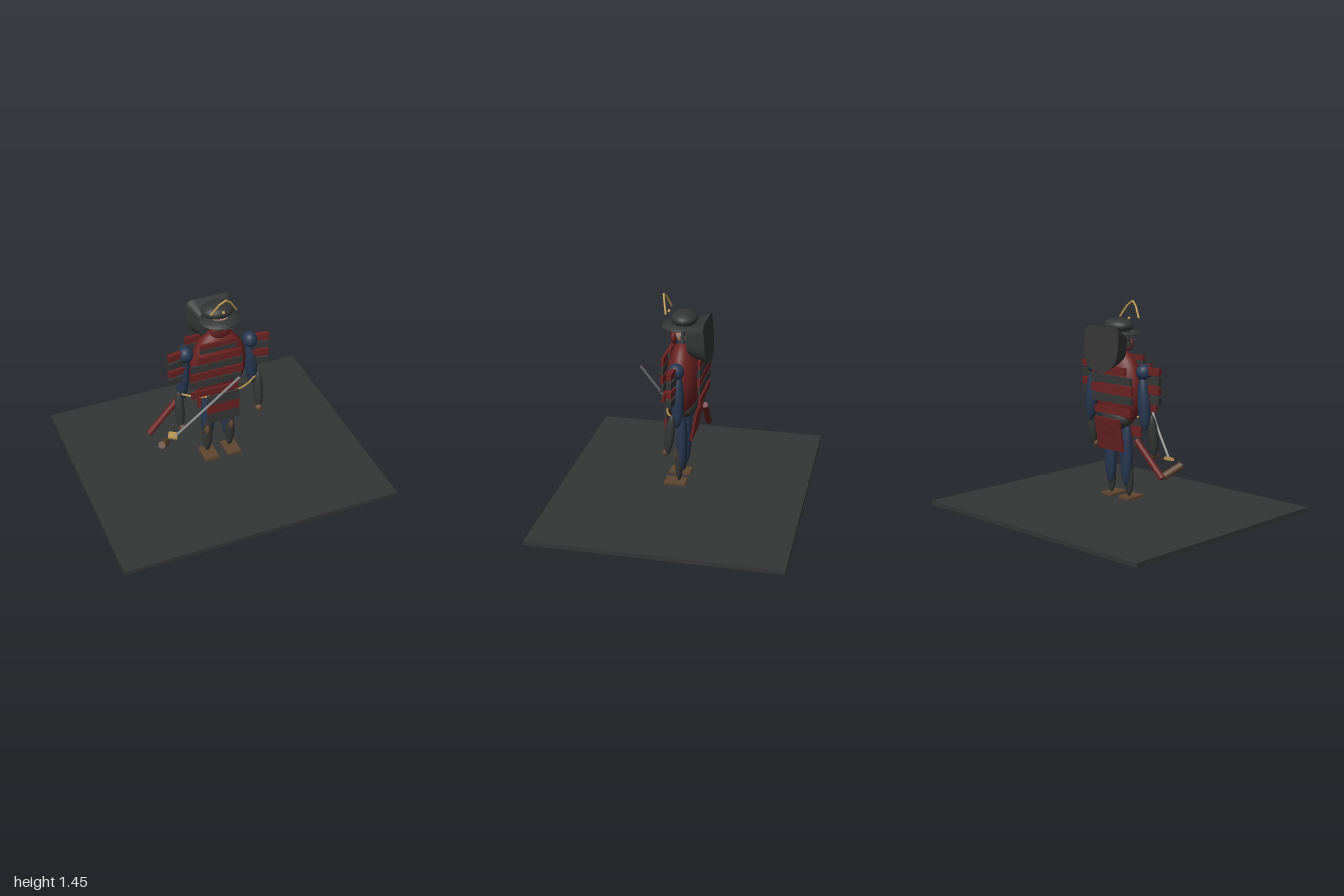
import * as THREE from 'three';

const mat = (c) => new THREE.MeshStandardMaterial({ color: c, side: THREE.DoubleSide });
const DARK = mat(0x343635), RED = mat(0x6a2222), NAVY = mat(0x27364f), BROWN = mat(0x5f4630);
const GOLD = mat(0xb8954f), SKIN = mat(0xb58d7c), STEEL = mat(0x8c8c8c), GROUND = mat(0x343635);
const V = (x, y, z) => new THREE.Vector3(x, y, z);

export function createModel() {
  const root = new THREE.Group();

  const add = (name, geo, material, x = 0, y = 0, z = 0, parent = root) => {
    const m = new THREE.Mesh(geo, material);
    m.name = name;
    m.position.set(x, y, z);
    parent.add(m);
    return m;
  };
  const box = (name, material, w, h, d, x, y, z) => add(name, new THREE.BoxGeometry(w, h, d), material, x, y, z);
  const ball = (name, material, rx, ry, rz, x, y, z) => {
    const m = add(name, new THREE.SphereGeometry(1, 32, 20), material, x, y, z);
    m.scale.set(rx, ry, rz);
    return m;
  };
  // cylinder between two points
  const rod = (name, material, a, b, r0, r1 = r0) => {
    const mid = a.clone().add(b).multiplyScalar(0.5);
    const m = add(name, new THREE.CylinderGeometry(r1, r0, a.distanceTo(b), 16), material, mid.x, mid.y, mid.z);
    m.quaternion.setFromUnitVectors(V(0, 1, 0), b.clone().sub(a).normalize());
    return m;
  };
  const tube = (name, material, pts, r) =>
    add(name, new THREE.TubeGeometry(new THREE.CatmullRomCurve3(pts), 32, r, 8), material);

  // ground slab
  box('ground', GROUND, 2, 0.03, 1.72, 0, 0.015, 0);

  // body
  ball('torso', RED, 0.2, 0.28, 0.112, 0, 0.85, 0.008);
  ball('hips', DARK, 0.13, 0.08, 0.08, 0, 0.65, -0.01);
  rod('neck', NAVY, V(0, 1.02, 0.01), V(0, 1.17, 0.01), 0.06, 0.045);

  // armour rows on chest and back: y, height, left edge, right edge, z
  const rows = [
    [1.068, 0.035, -0.16, 0.09, 0.085], [1.035, 0.03, -0.16, 0.1, 0.09],
    [0.995, 0.055, -0.19, 0.12, 0.13], [0.933, 0.052, -0.24, 0.13, 0.13],
    [0.868, 0.055, -0.25, 0.13, 0.13], [0.803, 0.052, -0.25, 0.12, 0.13],
    [0.72, 0.048, -0.24, 0.1, 0.13],
  ];
  rows.forEach(([y, h, x0, x1, z], i) => {
    const material = i % 2 ? DARK : RED;
    box('chestPlate', material, x1 - x0, h, 0.018, (x0 + x1) / 2, y, z);
    if (i < 2) return;
    box('backPlate', material, x1 - x0, h, 0.018, (x0 + x1) / 2, y, -z + 0.008);
    for (let k = 0; k < 6; k++) {
      ball('lacing', RED, 0.005, 0.008, 0.004, x0 + (x1 - x0) * (k + 0.5) / 6, y - 0.03, 0.15);
    }
  });

  // hanging skirt panels, front and back
  for (const s of [1, -1]) {
    for (let c = -1; c <= 1; c++) {
      for (let r = 0; r < 3; r++) {
        const material = s < 0 || r === 1 ? RED : DARK;
        const z = s > 0 ? 0.108 + r * 0.001 : -0.1 + r * 0.014;
        const p = box('skirtPanel', material, 0.076, 0.075, 0.016, c * 0.08, 0.62 - r * 0.076, z);
        p.rotation.x = s > 0 ? 0 : -0.17;
      }
    }
  }
  // waist cord
  tube('waistCord', GOLD, [V(-0.28, 0.67, 0.02), V(-0.2, 0.657, 0.07), V(-0.1, 0.65, 0.1),
    V(0.1, 0.65, 0.1), V(0.2, 0.657, 0.07), V(0.28, 0.67, 0.02)], 0.007);

  // limbs, mirrored
  for (const s of [1, -1]) {
    ball('shoulder', NAVY, 0.053, 0.058, 0.055, s * 0.235, 0.985, 0.01);
    ball('upperArm', NAVY, 0.045, 0.19, 0.042, s * 0.25, 0.78, -0.005).rotation.z = s * 0.08;
    ball('forearm', DARK, 0.033, 0.15, 0.034, s * 0.295, 0.55, 0.04).rotation.x = -0.12;
    ball('hand', BROWN, 0.025, 0.027, 0.025, s * 0.288, 0.415, 0.068);
    ball('thigh', NAVY, 0.05, 0.24, 0.037, s * 0.075, 0.41, 0.003);
    ball('shin', DARK, 0.037, 0.155, 0.026, s * 0.085, 0.255, 0.022);
    ball('kneeGuard', BROWN, 0.022, 0.045, 0.02, s * 0.09, 0.3, 0.034);
    box('sandal', BROWN, 0.105, 0.016, 0.15, s * 0.085, 0.092, 0.045);
    // stacked shoulder guards
    [0.998, 0.933, 0.868, 0.803].forEach((y, i) => {
      const p = box('shoulderGuard', i % 2 ? DARK : RED, 0.13, 0.048, 0.035, s * 0.3, y, 0.02);
      p.rotation.set(0, -s * 0.15, -s * 0.04);
    });
  }

  // head and face mask
  ball('head', SKIN, 0.075, 0.09, 0.06, 0, 1.2, 0.012);
  ball('faceMask', RED, 0.078, 0.06, 0.027, 0, 1.16, 0.066);
  for (const s of [1, -1]) {
    tube('moustache', DARK, [V(s * 0.008, 1.175, 0.095), V(s * 0.04, 1.183, 0.1), V(s * 0.075, 1.178, 0.108)], 0.004);
    box('earFlap', DARK, 0.035, 0.12, 0.02, s * 0.1, 1.2, -0.008).rotation.z = s * 0.15;
  }

  // helmet bowl, brim and crest
  ball('helmetBowl', DARK, 0.112, 0.053, 0.09, 0, 1.285, 0.002);
  const brim = add('helmetBrim', new THREE.LatheGeometry([
    new THREE.Vector2(0.07, 0.026), new THREE.Vector2(0.105, 0.018), new THREE.Vector2(0.14, 0),
    new THREE.Vector2(0.138, -0.006), new THREE.Vector2(0.07, 0.012)], 40), DARK, 0, 1.232, 0.035);
  brim.scale.z = 0.88;
  const crest = [V(-0.09, 1.33, 0.11), V(-0.04, 1.41, 0.132), V(0, 1.442, 0.144), V(0.04, 1.41, 0.132), V(0.09, 1.33, 0.11)];
  for (let i = 0; i < 4; i++) rod('crest', GOLD, crest[i], crest[i + 1], 0.007);
  ball('crestKnob', GOLD, 0.011, 0.011, 0.011, 0, 1.325, 0.108);

  // flared neck guard, squared off towards its upper corners
  const guardGeo = new THREE.CylinderGeometry(0.11, 0.162, 0.135, 48);
  guardGeo.rotateX(Math.PI / 2);
  const p = guardGeo.attributes.position;
  for (let i = 0; i < p.count; i++) {
    const x = p.getX(i), y = p.getY(i), r = Math.hypot(x, y);
    if (y > 0 && r > 0) {
      const k = Math.min(1.25, r / Math.max(Math.abs(x), y));
      p.setXY(i, x * k, Math.min(y * k, r * 0.93));
    }
  }
  guardGeo.computeVertexNormals();
  add('neckGuard', guardGeo, DARK, 0, 1.135, -0.1).rotation.x = 0.08;

  // sword: curved blade, square guard and grip
  tube('blade', STEEL, [V(-0.37, 0.39, 0.12), V(-0.16, 0.64, 0.195), V(0.035, 0.92, 0.3)], 0.009);
  box('swordGuard', GOLD, 0.065, 0.02, 0.05, -0.375, 0.397, 0.11).rotation.set(0.2, -0.5, 0);
  rod('swordGrip', BROWN, V(-0.468, 0.365, 0.14), V(-0.397, 0.29, 0.035), 0.026);

  // scabbard
  rod('scabbard', RED, V(-0.485, 0.31, -0.075), V(-0.26, 0.54, -0.09), 0.022);

  return root;
}
